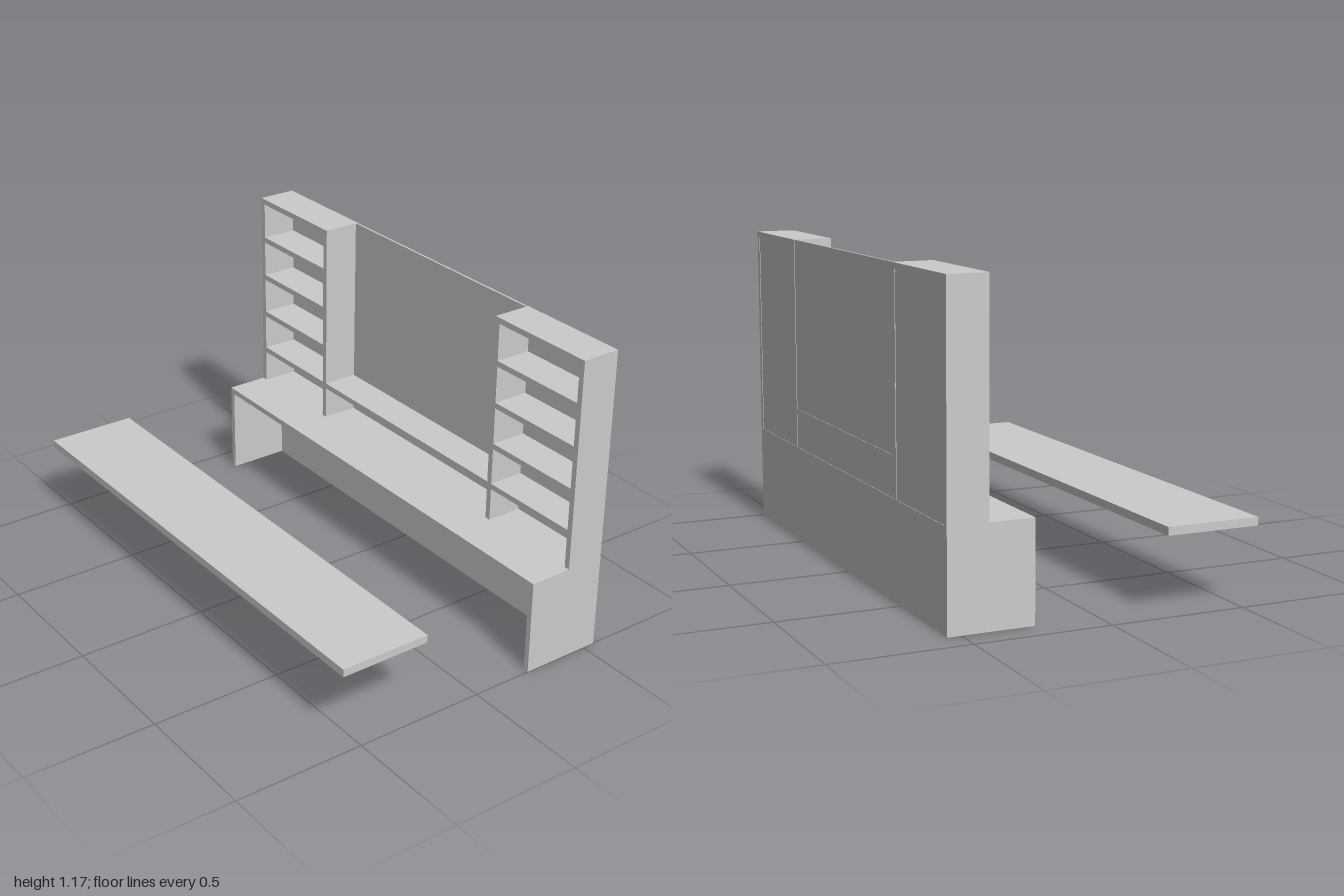
import * as THREE from 'three';

const material = new THREE.MeshStandardMaterial({ color: 0xcccccc, flatShading: true });

// Board given by its limits along x, y and z
function board(parent, name, [x0, x1], [y0, y1], [z0, z1]) {
  const mesh = new THREE.Mesh(new THREE.BoxGeometry(x1 - x0, y1 - y0, z1 - z0), material);
  mesh.position.set((x0 + x1) / 2, (y0 + y1) / 2, (z0 + z1) / 2);
  mesh.name = name;
  parent.add(mesh);
}

export function createModel() {
  const model = new THREE.Group();
  model.name = 'deskWithShelving';

  const t = 0.022;               // board thickness
  const back = 0.55, front = 0.235, towerFront = 0.4;
  const deskY = 0.365, topY = 1.17, shelfY = 0.515;
  const z0 = -0.9, z1 = 1;

  // Desk base, open towards -x
  const desk = new THREE.Group();
  desk.name = 'desk';
  board(desk, 'deskTop', [front, back], [deskY - t, deskY], [z0, z1]);
  board(desk, 'deskLeg', [front, back], [0, deskY - t], [z0, z0 + t]);
  board(desk, 'deskLeg', [front, back], [0, deskY - t], [z1 - t, z1]);
  board(desk, 'deskBack', [0.475, back], [0, deskY - t], [z0 + t, z1 - t]);
  model.add(desk);

  // Wall panel behind the towers and the gap between them
  board(model, 'backPanel', [back - 0.01, back - 0.002], [deskY, topY], [z0 + t, z1 - t]);

  // Shelf towers, one at each end: outer and inner limits along z
  for (const [outer, inner] of [[z1, 0.55], [z0, -0.45]]) {
    const tower = new THREE.Group();
    tower.name = 'shelfTower';
    const s = Math.sign(outer - inner);
    const span = (a, b) => [Math.min(a, b), Math.max(a, b)];
    board(tower, 'towerOuterSide', [towerFront, back], [deskY, topY], span(outer, outer - s * t));
    board(tower, 'towerInnerSide', [towerFront, back], [deskY, topY], span(inner, inner + s * t));
    const inside = span(inner + s * t, outer - s * t);
    board(tower, 'towerTop', [towerFront, back], [topY - t, topY], inside);
    for (let i = 0; i < 4; i++) {
      const y = shelfY + i * (topY - shelfY) / 4;
      board(tower, 'shelf', [towerFront, back - 0.003], [y - t, y], inside);
    }
    model.add(tower);
  }

  // Long shelf joining the towers
  board(model, 'middleShelf', [towerFront, back], [shelfY - t, shelfY], [-0.45, 0.55]);

  // Separate floating plank in front of the desk
  board(model, 'plank', [-0.555, -0.205], [0.28, 0.31], [-1, 0.97]);

  return model;
}
